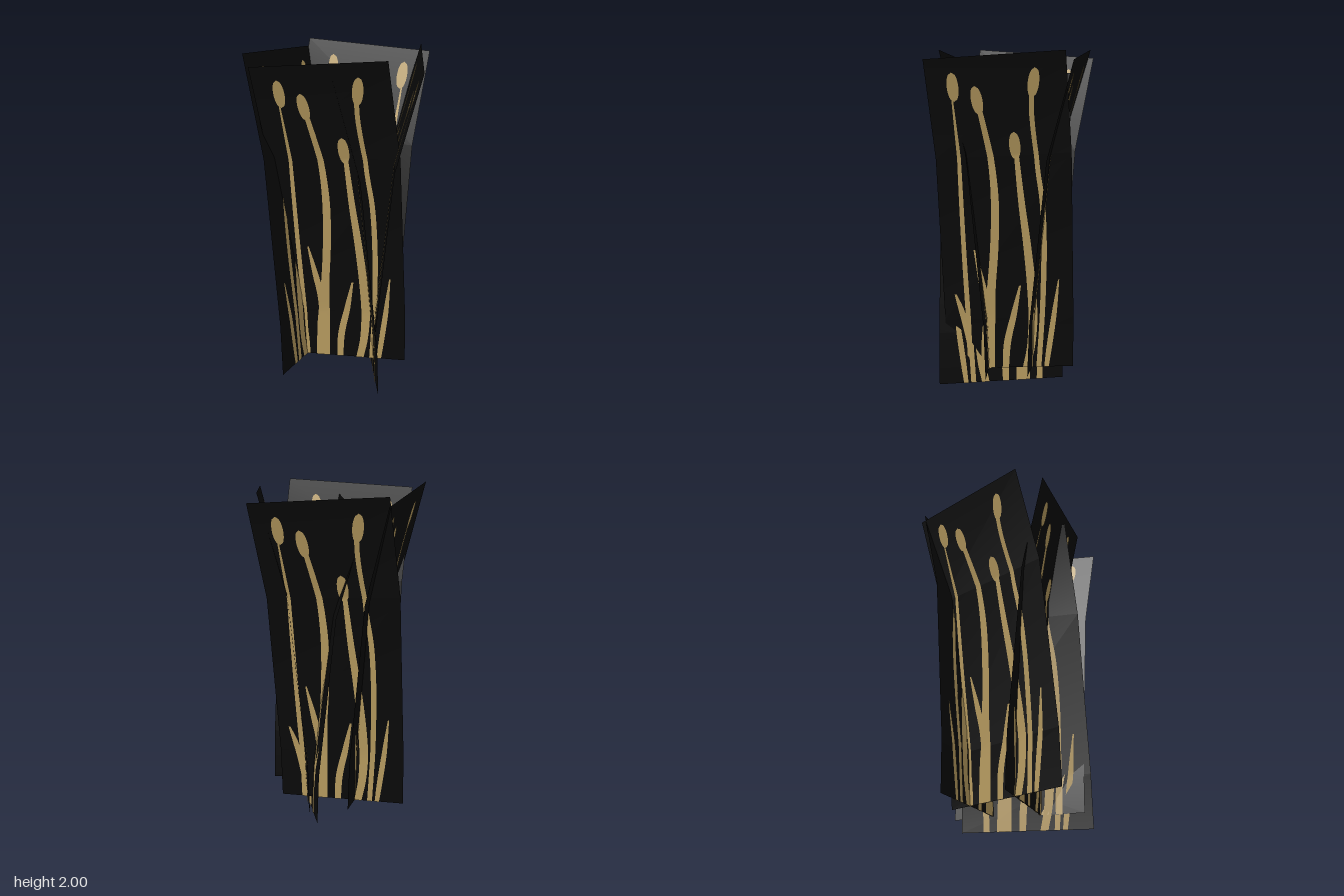
import * as THREE from 'three';
import { mergeGeometries } from 'three/addons/utils/BufferGeometryUtils.js';

const black = new THREE.MeshStandardMaterial({ color: 0x090909, side: THREE.DoubleSide });
black.name = 'black card';
const tan = new THREE.MeshStandardMaterial({ color: 0xb89c60, side: THREE.DoubleSide });
tan.name = 'reed tan';

// Card corners seen from outside: bottom left, bottom right, top left, top right
const CARDS = {
  frontCard: [[-0.37, 0.09, 0.165], [0.39, 0.09, 0.065], [-0.43, 1.95, 0.445], [0.32, 2, 0.34]],
  rightCard: [[0.26, 0.09, 0.34], [0.06, 0.09, -0.41], [0.52, 1.95, 0.37], [0.345, 2, -0.38]],
  backCard: [[0.285, 0.09, -0.165], [-0.475, 0.09, -0.165], [0.39, 1.95, -0.43], [-0.38, 2, -0.43]],
  leftCard: [[-0.15, 0.09, -0.30], [-0.28, 0.09, 0.45], [-0.38, 1.95, -0.45], [-0.52, 2, 0.31]],
  innerCard: [[0.03, 0, -0.34], [0.30, 0, 0.375], [-0.24, 1.86, -0.34], [0.02, 1.91, 0.38]],
};

// Outward bend: share of the horizontal shift reached at each height
const BEND = [[0, 0], [0.17, 0.04], [0.7, 0.42], [1, 1]];
function bend(v) {
  let i = 0;
  while (i < BEND.length - 2 && v > BEND[i + 1][0]) i++;
  const [a, b] = [BEND[i], BEND[i + 1]];
  return THREE.MathUtils.mapLinear(v, a[0], b[0], a[1], b[1]);
}

// Point on a card at (u, v), both from 0 to 1
function cardPoint(c, u, v) {
  const [b0, b1, t0, t1] = c.map((p) => new THREE.Vector3(...p));
  const bottom = b0.lerp(b1, u), top = t0.lerp(t1, u);
  const p = bottom.clone().lerp(top, bend(v));
  p.y = THREE.MathUtils.lerp(bottom.y, top.y, v);
  return p;
}

function cardNormal(c, u, v) {
  const d = 0.005, lo = Math.max(v - d, 0), hi = Math.min(v + d, 1);
  const du = cardPoint(c, 1, v).sub(cardPoint(c, 0, v));
  const dv = cardPoint(c, u, hi).sub(cardPoint(c, u, lo));
  return du.cross(dv).normalize();
}

// Ribbon through pairs of points
function ribbon(pairs) {
  const pos = [], idx = [];
  pairs.forEach(([l, r], i) => {
    pos.push(...l.toArray(), ...r.toArray());
    if (i) {
      const k = 2 * i;
      idx.push(k - 2, k - 1, k + 1, k - 2, k + 1, k);
    }
  });
  const g = new THREE.BufferGeometry();
  g.setAttribute('position', new THREE.Float32BufferAttribute(pos, 3));
  g.setIndex(idx);
  g.computeVertexNormals();
  return g;
}

// Stems and leaves as [u, v, half width] from the base up
const BLADES = [
  [[0.187, 0, 0.02], [0.172, 0.375, 0.018], [0.17, 0.69, 0.014], [0.172, 0.9, 0.005]],
  [[0.324, 0, 0.055], [0.335, 0.13, 0.05], [0.366, 0.27, 0.034], [0.402, 0.41, 0.032],
    [0.42, 0.55, 0.03], [0.41, 0.66, 0.025], [0.365, 0.82, 0.02], [0.35, 0.86, 0.018]],
  [[0.63, 0, 0.03], [0.665, 0.07, 0.032], [0.682, 0.16, 0.035], [0.677, 0.27, 0.034],
    [0.653, 0.41, 0.03], [0.62, 0.55, 0.025], [0.592, 0.7, 0.018]],
  [[0.727, 0, 0.02], [0.748, 0.13, 0.02], [0.768, 0.27, 0.021], [0.781, 0.41, 0.021],
    [0.775, 0.55, 0.02], [0.745, 0.66, 0.018], [0.727, 0.82, 0.018], [0.74, 0.9, 0.018]],
  [[0.33, 0.08, 0.03], [0.324, 0.22, 0.028], [0.294, 0.3, 0.024], [0.25, 0.405, 0.006]],
  [[0.2, 0, 0.015], [0.185, 0.08, 0.02], [0.13, 0.2, 0.022], [0.09, 0.257, 0.008]],
  [[0.465, 0, 0.025], [0.48, 0.085, 0.028], [0.535, 0.185, 0.024], [0.588, 0.28, 0.008]],
  [[0.787, 0, 0.018], [0.81, 0.07, 0.022], [0.848, 0.18, 0.02], [0.888, 0.297, 0.005]],
];
// Seed heads as [u, v, sideways lean]
const HEADS = [[0.185, 0.915, 0], [0.345, 0.872, -0.008], [0.586, 0.73, 0], [0.757, 0.915, 0.018]];

// All painted outlines as rows of [u, v, half width]
const outlines = [
  ...BLADES.map((pts) => new THREE.CatmullRomCurve3(pts.map((p) => new THREE.Vector3(...p)))
    .getPoints(28).map((p) => [p.x, p.y, Math.max(p.z, 0)])),
  ...HEADS.map(([u, v, lean]) => Array.from({ length: 13 }, (_, i) => {
    const t = i / 6 - 1;
    return [u + lean * t, v + 0.043 * t, 0.041 * Math.pow(Math.max(0, 1 - t * t), 0.45)];
  })),
];

export function createModel() {
  const model = new THREE.Group();
  model.name = 'reedClump';
  for (const [name, c] of Object.entries(CARDS)) {
    const group = new THREE.Group();
    group.name = name;

    // Bent black sheet
    const sheet = new THREE.Mesh(
      ribbon(BEND.map(([v]) => [cardPoint(c, 0, v), cardPoint(c, 1, v)])), black);
    sheet.name = 'sheet';

    // Painted reeds on both faces
    const paint = [];
    for (const side of [-0.004, 0.004]) {
      const at = (u, v) => cardPoint(c, u, v).addScaledVector(cardNormal(c, u, v), side);
      for (const rows of outlines) {
        paint.push(ribbon(rows.map(([u, v, w]) => [at(u - w, v), at(u + w, v)])));
      }
    }
    const reeds = new THREE.Mesh(mergeGeometries(paint), tan);
    reeds.name = 'paintedReeds';

    group.add(sheet, reeds);
    model.add(group);
  }
  return model;
}
